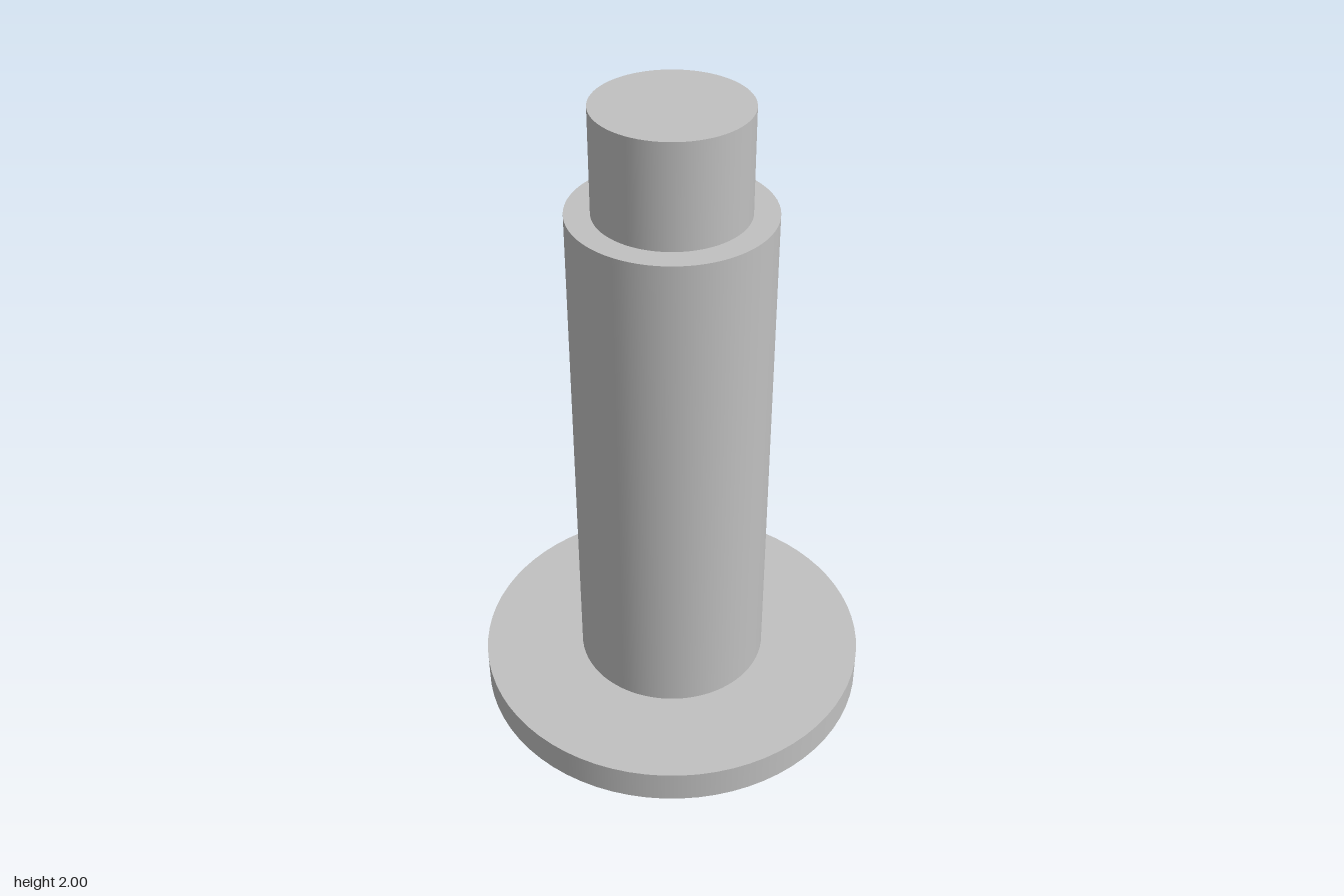
import * as THREE from 'three';

const SIDES = 72;

export function createModel() {
  const model = new THREE.Group();
  model.name = 'flangedPin';
  const steel = new THREE.MeshStandardMaterial({ color: 0xc0c0c0 });
  steel.name = 'light grey steel';

  const add = (name, geometry, y) => {
    const mesh = new THREE.Mesh(geometry, steel);
    mesh.name = name;
    mesh.position.y = y;
    model.add(mesh);
  };
  // Open wall of revolution between two heights
  const wall = (name, rBottom, rTop, y0, y1) =>
    add(name, new THREE.CylinderGeometry(rTop, rBottom, y1 - y0, SIDES, 1, true), (y0 + y1) / 2);
  // Flat ring facing up; ring angle matches the wall facets
  const ledge = (name, rInner, rOuter, y) =>
    add(name, new THREE.RingGeometry(rInner, rOuter, SIDES).rotateX(-Math.PI / 2), y);

  const R = { base: 0.55, flange: 0.597, shaft: 0.29, tip: 0.218 };
  const Y = { chamfer: 0.045, flange: 0.147, shaft: 1.695, tip: 2 };

  // Flange with a chamfered underside
  add('flangeUnderside', new THREE.CircleGeometry(R.base, SIDES).rotateX(Math.PI / 2), 0);
  wall('flangeChamfer', R.base, R.flange, 0, Y.chamfer);
  wall('flangeRim', R.flange, R.flange, Y.chamfer, Y.flange);
  ledge('flangeTop', R.shaft, R.flange, Y.flange);

  // Main shaft and its shoulder
  wall('shaft', R.shaft, R.shaft, Y.flange, Y.shaft);
  ledge('shaftShoulder', R.tip, R.shaft, Y.shaft);

  // Narrower tip
  wall('tip', R.tip, R.tip, Y.shaft, Y.tip);
  add('tipTop', new THREE.CircleGeometry(R.tip, SIDES).rotateX(-Math.PI / 2), Y.tip);

  return model;
}
